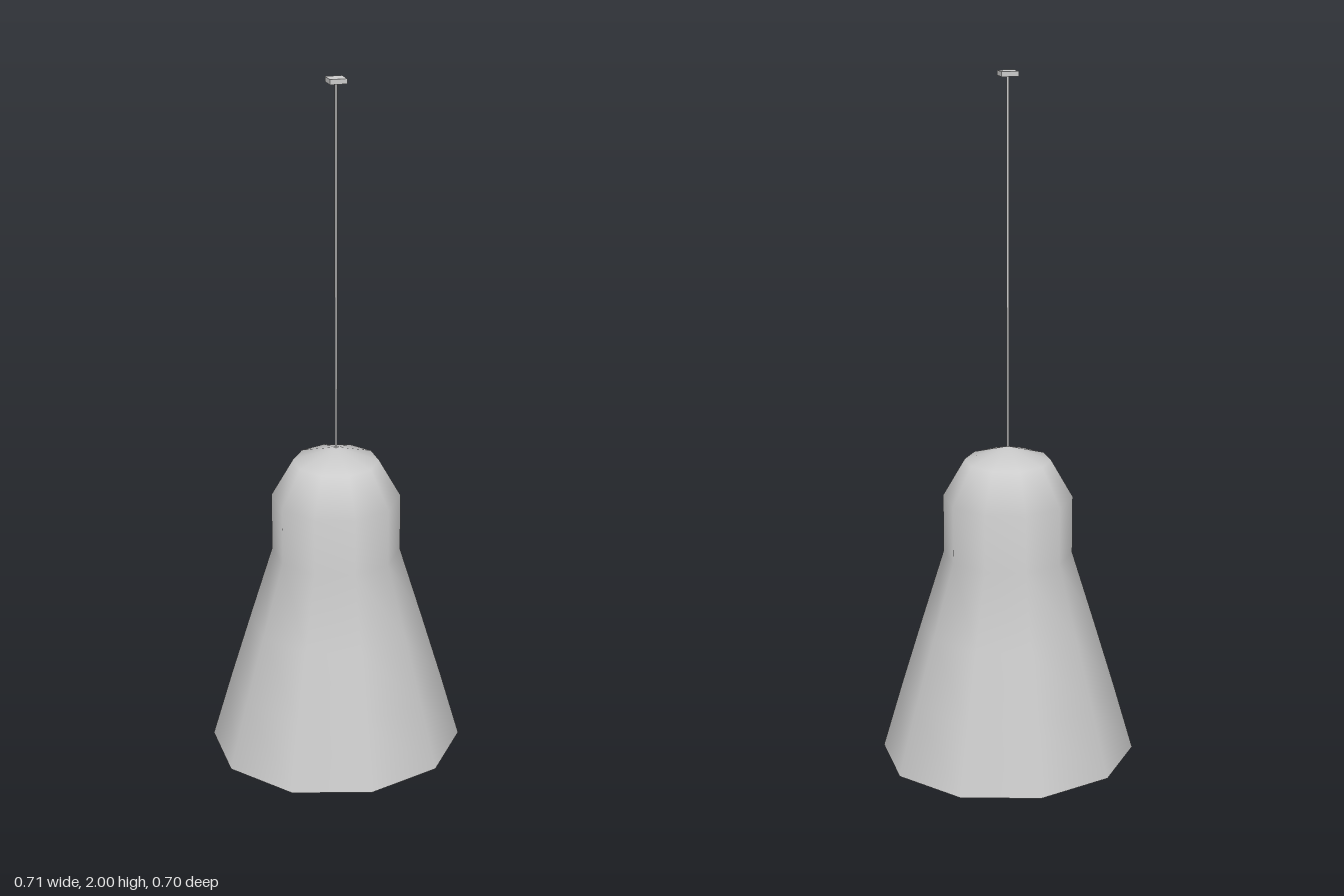
import * as THREE from 'three';

export function createModel() {
  const group = new THREE.Group();
  const grey = new THREE.MeshStandardMaterial({ color: 0xcccccc });
  grey.name = 'light grey';

  const add = (name, geometry, y = 0) => {
    const mesh = new THREE.Mesh(geometry, grey);
    mesh.name = name;
    mesh.position.y = y;
    group.add(mesh);
  };

  // Ten-sided turned part; below the neck it widens slightly in x
  const turned = (profile) => {
    const g = new THREE.LatheGeometry(profile.map(([r, y]) => new THREE.Vector2(r, y)), 10);
    const { position: p, normal: n } = g.attributes;
    for (let i = 0; i < p.count; i++) {
      // Smooth the tip where all sides meet
      if (Math.hypot(p.getX(i), p.getZ(i)) < 1e-6) n.setXYZ(i, 0, Math.sign(n.getY(i)), 0);
      const flare = Math.max(0, 1 - (p.getY(i) / 0.62) ** 2);
      p.setX(i, p.getX(i) * (1 + 0.072 * flare));
    }
    return g;
  };

  // Bell-shaped shade with a domed top
  add('shade', turned([
    [0.349, 0], [0.297, 0.2], [0.245, 0.4], [0.187, 0.62], [0.187, 0.79], [0.124, 0.9], [0, 0.94],
  ]));

  // Short inner lip and the shallow hollow closing the opening
  add('innerLip', turned([[0.341, 0.02], [0.349, 0]]));
  add('hollow', turned([[0, 0.12], [0.2, 0.085], [0.341, 0.02]]));

  // Hanging cord and ceiling plate
  add('cord', new THREE.CylinderGeometry(0.0035, 0.0035, 1.06, 10), 1.46);
  add('ceilingPlate', new THREE.BoxGeometry(0.048, 0.014, 0.048), 1.993);

  return group;
}
